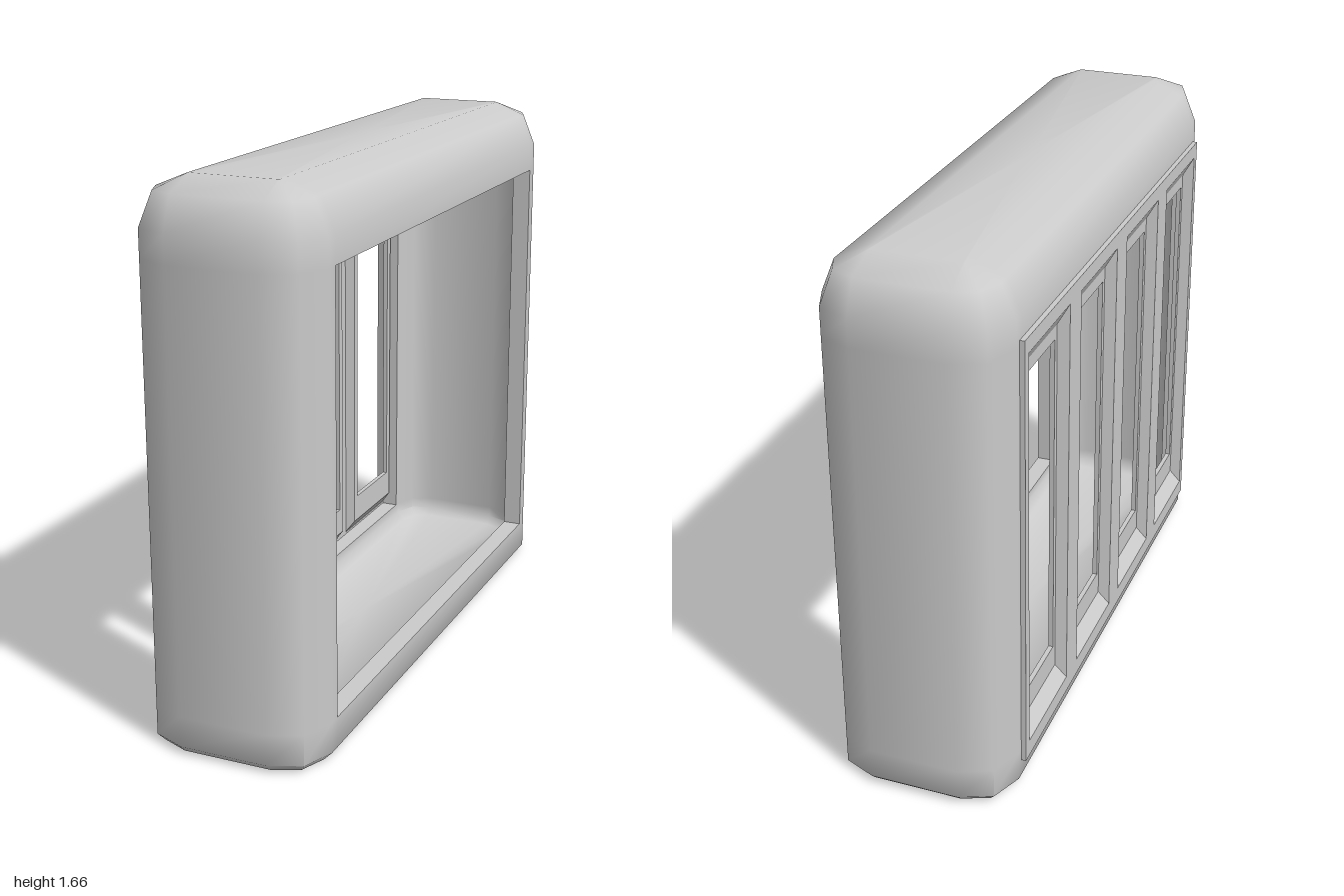
import * as THREE from 'three';
import { toCreasedNormals } from 'three/addons/utils/BufferGeometryUtils.js';

const material = new THREE.MeshStandardMaterial({ color: 0xcccccc });
const OPEN_Z = 0.82, OPEN_LOW = 0.12, OPEN_HIGH = 1.44; // openings in both broad sides

function geometryFrom(points) {
  return new THREE.BufferGeometry().setFromPoints(points);
}

function quad(out, a, b, c, d) {
  out.push(a, b, c, a, c, d);
}

// Horizontal rounded rectangle, with extra points where the openings start and end
function roundedRing(y, hx, hz, radius, inset) {
  const cx = 0.0075, w = hx - inset, l = hz - inset, r = Math.max(radius - inset, 0.005);
  const ring = [];
  const add = (x, z) => ring.push(new THREE.Vector3(cx + x, y, z));
  for (let k = 0; k < 4; k++) {
    if (k === 0) { add(w, OPEN_Z); add(w, -OPEN_Z); }
    if (k === 2) { add(-w, -OPEN_Z); add(-w, OPEN_Z); }
    const sx = k === 0 || k === 3 ? 1 : -1, sz = k < 2 ? -1 : 1;
    for (let m = 0; m < 3; m++) {
      const a = (k + m / 2) * Math.PI / 2;
      add(sx * (w - r) + r * Math.cos(a), sz * (l - r) - r * Math.sin(a));
    }
  }
  return ring;
}

// Stack of rings for one skin of the hollow body
function skinRings(t, radius) {
  const hx = 0.2775 - t, hz = 1 - t, top = 1.665 - t, mid = radius * 0.293;
  return [[t, 0.025], [t + 0.025, 0], [OPEN_LOW, 0], [OPEN_HIGH, 0],
    [top - radius, 0], [top - mid, mid], [top, radius]]
    .map(([y, inset]) => roundedRing(y, hx, hz, radius, inset));
}

function addSkin(out, rings, inward) {
  const put = (a, b, c) => (inward ? out.push(a, c, b) : out.push(a, b, c));
  const n = rings[0].length;
  for (let i = 0; i < rings.length - 1; i++) {
    for (let j = 0; j < n; j++) {
      if (i === 2 && (j === 0 || j === 8)) continue; // leave the openings free
      const k = (j + 1) % n;
      const [a, b, c, d] = [rings[i][j], rings[i][k], rings[i + 1][k], rings[i + 1][j]];
      put(a, b, c);
      put(a, c, d);
    }
  }
  // flat bottom and top
  const first = rings[0], last = rings[rings.length - 1];
  const low = new THREE.Vector3(0.0075, first[0].y, 0);
  const high = new THREE.Vector3(0.0075, last[0].y, 0);
  for (let j = 0; j < n; j++) {
    const k = (j + 1) % n;
    put(low, first[k], first[j]);
    put(high, last[j], last[k]);
  }
}

// Hollow rounded housing with an opening on each broad side
function createHousing() {
  const points = [];
  const outer = skinRings(0, 0.14), inner = skinRings(0.06, 0.1);
  addSkin(points, outer, false);
  addSkin(points, inner, true);
  for (const j of [0, 8]) {
    const corners = (s) => [s[2][j], s[2][j + 1], s[3][j + 1], s[3][j]];
    const o = corners(outer), n = corners(inner);
    for (let e = 0; e < 4; e++) {
      const f = (e + 1) % 4;
      quad(points, o[e], o[f], n[f], n[e]);
    }
  }
  const mesh = new THREE.Mesh(toCreasedNormals(geometryFrom(points), 0.95), material);
  mesh.name = 'housing';
  return mesh;
}

function rectPath(PathType, z0, z1, y0, y1) {
  return new PathType([[z0, y0], [z1, y0], [z1, y1], [z0, y1]]
    .map(([z, y]) => new THREE.Vector2(z, y)));
}

const WINDOWS = [-0.645, -0.215, 0.215, 0.645];
const HALF = 0.173, LOW = 0.127, HIGH = 1.42;

// Thin outer plate whose strips form the mullions
function createPlate() {
  const shape = rectPath(THREE.Shape, -0.84, 0.84, 0.08, 1.46);
  for (const c of WINDOWS) shape.holes.push(rectPath(THREE.Path, c - HALF, c + HALF, LOW, HIGH));
  const geometry = new THREE.ExtrudeGeometry(shape, { depth: 0.02, bevelEnabled: false });
  geometry.rotateY(-Math.PI / 2).translate(-0.265, 0, 0);
  const mesh = new THREE.Mesh(geometry, material);
  mesh.name = 'grillePlate';
  return mesh;
}

// Recessed sash: rectangles lofted inward, across to the hole and back out
function createSash(center) {
  const sections = [ // x, half width, low, high
    [-0.285, HALF, LOW, HIGH], [-0.267, HALF, LOW, HIGH],
    [-0.235, 0.163, 0.17, 1.36], [-0.235, 0.137, 0.26, 1.31],
    [-0.25, 0.137, 0.26, 1.31], [-0.25, 0.156, 0.18, 1.35],
    [-0.285, 0.166, 0.134, 1.413]];
  const rings = sections.map(([x, h, y0, y1]) => [[h, y0], [-h, y0], [-h, y1], [h, y1]]
    .map(([z, y]) => new THREE.Vector3(x, y, center + z)));
  const points = [];
  rings.forEach((ring, i) => {
    const next = rings[(i + 1) % rings.length];
    for (let j = 0; j < 4; j++) {
      const k = (j + 1) % 4;
      quad(points, ring[j], ring[k], next[k], next[j]);
    }
  });
  const geometry = geometryFrom(points);
  geometry.computeVertexNormals();
  const mesh = new THREE.Mesh(geometry, material);
  mesh.name = 'windowSash';
  return mesh;
}

export function createModel() {
  const model = new THREE.Group();
  model.name = 'windowHousing';
  const grille = new THREE.Group();
  grille.name = 'grille';
  grille.add(createPlate(), ...WINDOWS.map(createSash));
  model.add(createHousing(), grille);
  return model;
}
